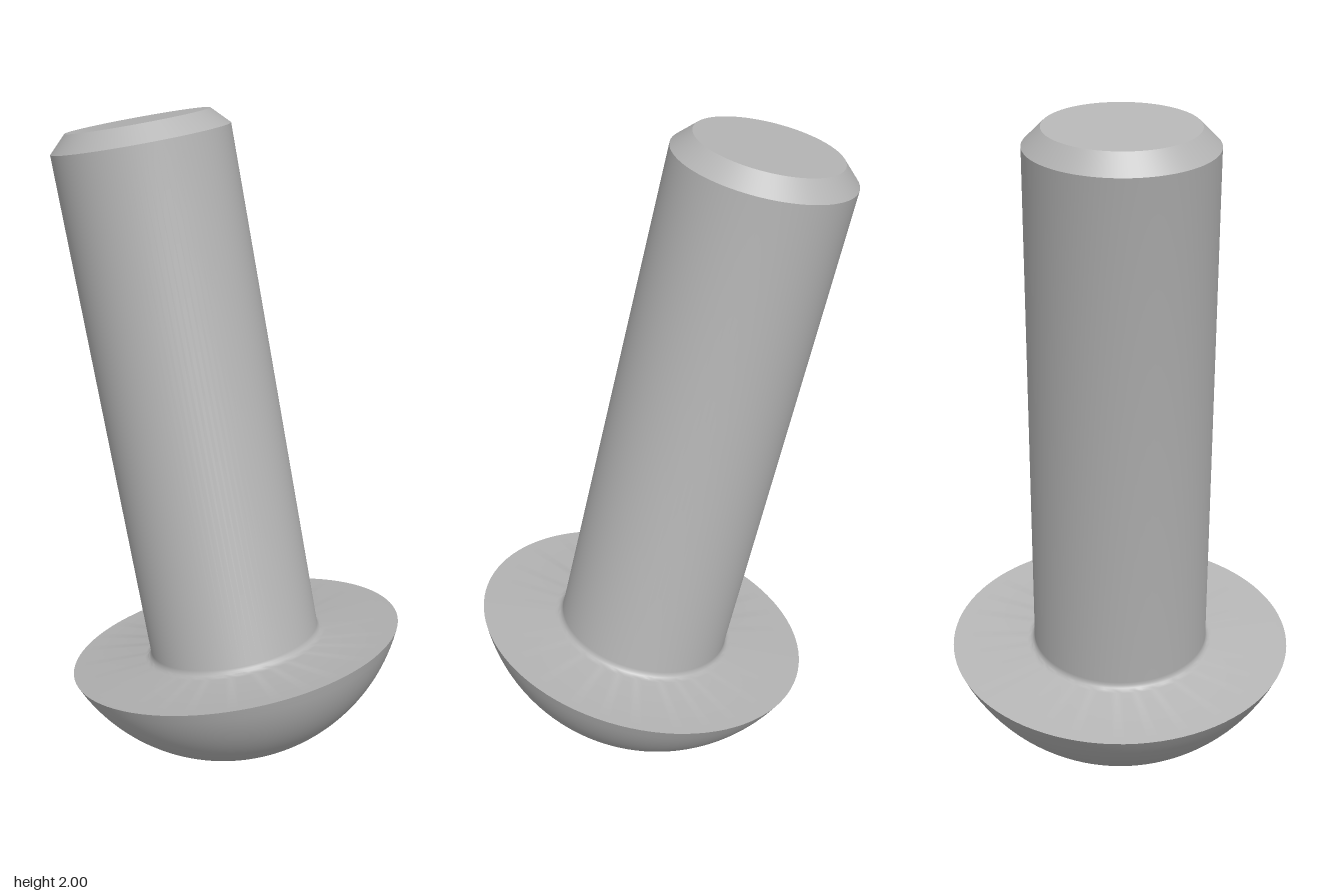
import * as THREE from 'three';
import { toCreasedNormals } from 'three/addons/utils/BufferGeometryUtils.js';

const HEAD_R = 0.52, HEAD_H = 0.32, FLAT_R = 0.18; // domed head
const SHAFT_R = 0.267, TIP_R = 0.215, LENGTH = 1.643, FILLET = 0.022;
const HEX = 0.172, SOCKET_Y = -0.14; // socket apothem and floor height
const SEGMENTS = 96, CREASE = 0.6;

// Radius of the hexagon in direction (x, z), one corner on +z
function hexRadius(x, z) {
  const step = Math.PI / 3;
  const a = Math.atan2(x, z) + Math.PI * 2;
  return HEX / Math.cos((a % step) - step / 2);
}

// Height of the dome at a radius: spherical, with a flat end
function domeHeight(r) {
  const c = (HEAD_R ** 2 - FLAT_R ** 2 - HEAD_H ** 2) / (2 * HEAD_H);
  const R = Math.hypot(HEAD_R, c);
  return r <= FLAT_R ? -HEAD_H : c - Math.sqrt(Math.max(0, R * R - r * r));
}

// Lathe whose rings are reshaped: place(t, hex) gives [radius, height]
function reshapedLathe(rings, place) {
  const points = [];
  for (let i = 0; i <= rings; i++) points.push(new THREE.Vector2(1 + i / rings, 0));
  const geo = new THREE.LatheGeometry(points, SEGMENTS);
  const p = geo.attributes.position;
  for (let i = 0; i < p.count; i++) {
    const x = p.getX(i), z = p.getZ(i), d = Math.hypot(x, z);
    const [r, y] = place(d - 1, hexRadius(x, z));
    p.setXYZ(i, (x / d) * r, y, (z / d) * r);
  }
  return toCreasedNormals(geo, CREASE);
}

export function createModel() {
  const steel = new THREE.MeshStandardMaterial({ color: 0xb4b4b4 });
  steel.name = 'steel';
  const bolt = new THREE.Group();
  bolt.name = 'bolt';
  const add = (name, geo) => {
    const mesh = new THREE.Mesh(geo, steel);
    mesh.name = name;
    bolt.add(mesh);
  };

  // Dome running from the hexagonal opening out to the rim
  add('headDome', reshapedLathe(24, (t, hex) => {
    const r = THREE.MathUtils.lerp(hex, HEAD_R, t);
    return [r, domeHeight(r)];
  }));

  // Socket walls, ending on the dome, and the socket floor
  add('socketWalls', reshapedLathe(1, (t, hex) => [hex, t < 0.5 ? SOCKET_Y : domeHeight(hex)]));
  add('socketFloor', reshapedLathe(1, (t, hex) => [t < 0.5 ? 0 : hex, SOCKET_Y]));

  // Flat bearing face, fillet, shaft and chamfered tip
  const profile = [new THREE.Vector2(HEAD_R, 0)];
  for (let i = 0; i <= 4; i++) {
    const a = (i / 4) * Math.PI / 2;
    profile.push(new THREE.Vector2(
      SHAFT_R + FILLET * (1 - Math.sin(a)), FILLET * (1 - Math.cos(a))));
  }
  profile.push(
    new THREE.Vector2(SHAFT_R, LENGTH - (SHAFT_R - TIP_R)),
    new THREE.Vector2(TIP_R, LENGTH),
    new THREE.Vector2(0, LENGTH));
  add('shaft', toCreasedNormals(new THREE.LatheGeometry(profile, SEGMENTS), CREASE));

  // Lean the bolt
  bolt.position.set(0.016, 0.35, 0);
  bolt.quaternion.setFromUnitVectors(
    new THREE.Vector3(0, 1, 0), new THREE.Vector3(-0.178, 0.977, -0.122).normalize());

  const model = new THREE.Group();
  model.name = 'model';
  model.add(bolt);
  return model;
}
